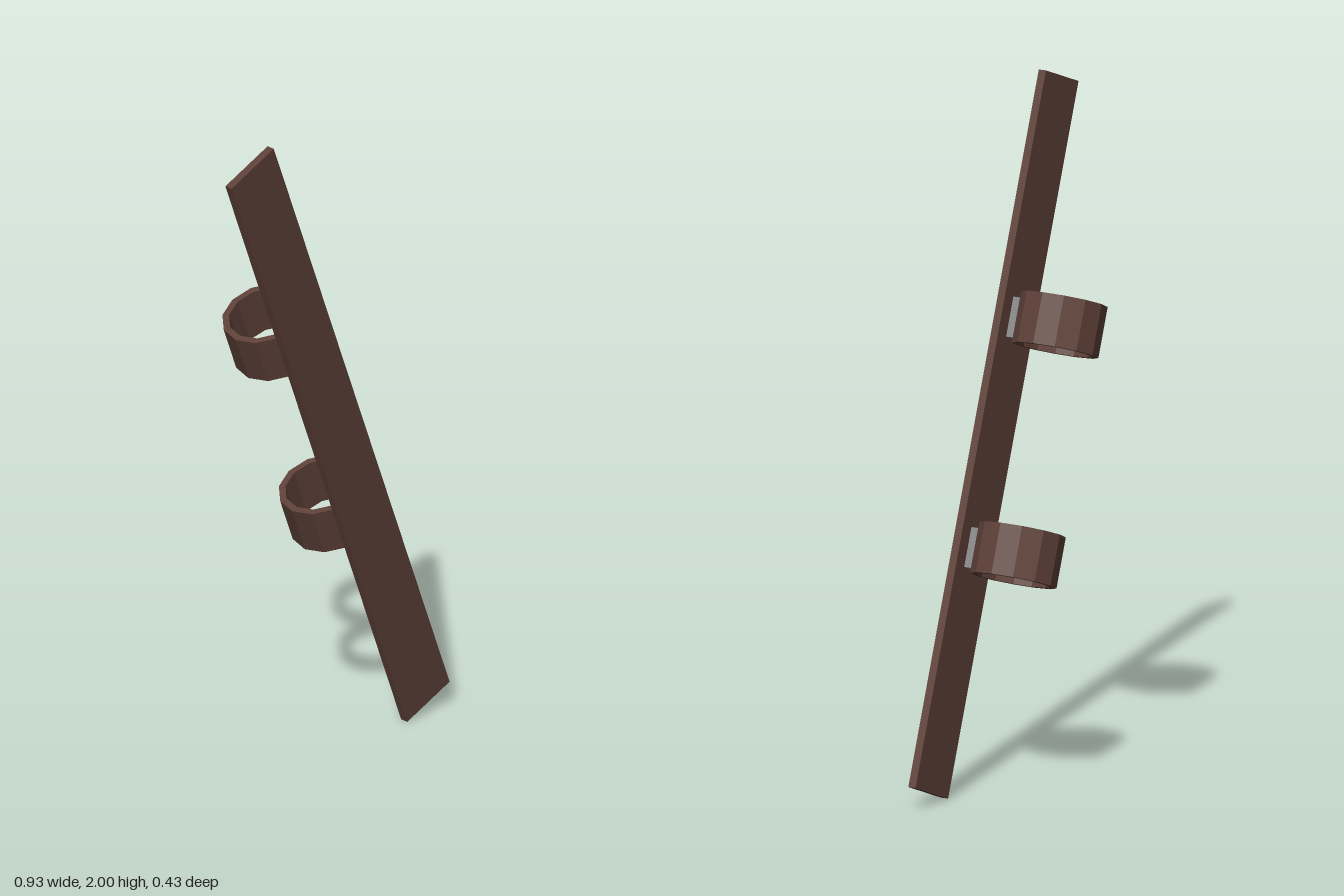
import * as THREE from 'three';

const wood = new THREE.MeshStandardMaterial({ color: 0x5d4037 });
wood.name = 'darkBrown';
const metal = new THREE.MeshStandardMaterial({ color: 0x858585 });
metal.name = 'grey';

function addPart(parent, name, geometry, material, x, y, z) {
  const mesh = new THREE.Mesh(geometry, material);
  mesh.name = name;
  mesh.position.set(x, y, z);
  parent.add(mesh);
}

// Twelve-sided faceted hoop, open along y
function hoopGeometry(outer, inner, height) {
  const h = height / 2;
  const profile = [[outer, -h], [outer, h], [inner, h], [inner, -h], [outer, -h]]
    .map(([r, y]) => new THREE.Vector2(r, y));
  const geometry = new THREE.LatheGeometry(profile, 12).toNonIndexed();
  geometry.computeVertexNormals();
  return geometry;
}

export function createModel() {
  const model = new THREE.Group();
  model.name = 'plankWithHoops';

  // Leaning frame: y runs along the plank, z is its front
  const frame = new THREE.Group();
  frame.name = 'leaningPlank';
  const up = new THREE.Vector3(-0.361, 0.928, 0.089).normalize();
  const front = new THREE.Vector3(0.183, -0.023, 0.984);
  const side = new THREE.Vector3().crossVectors(up, front).normalize();
  front.crossVectors(side, up);
  frame.quaternion.setFromRotationMatrix(new THREE.Matrix4().makeBasis(side, up, front));
  frame.position.set(0, 1, 0.095);
  model.add(frame);

  addPart(frame, 'plank', new THREE.BoxGeometry(0.186, 2.08, 0.024), wood, 0, 0, 0);

  // Two hoops behind the plank, each held by a small block
  const hoop = hoopGeometry(0.125, 0.105, 0.148);
  const block = new THREE.BoxGeometry(0.094, 0.116, 0.05);
  for (const [label, y] of [['upper', 0.334], ['lower', -0.334]]) {
    addPart(frame, label + 'Hoop', hoop, wood, 0, y, -0.152);
    addPart(frame, label + 'Block', block, metal, 0, y, -0.036);
  }
  return model;
}
